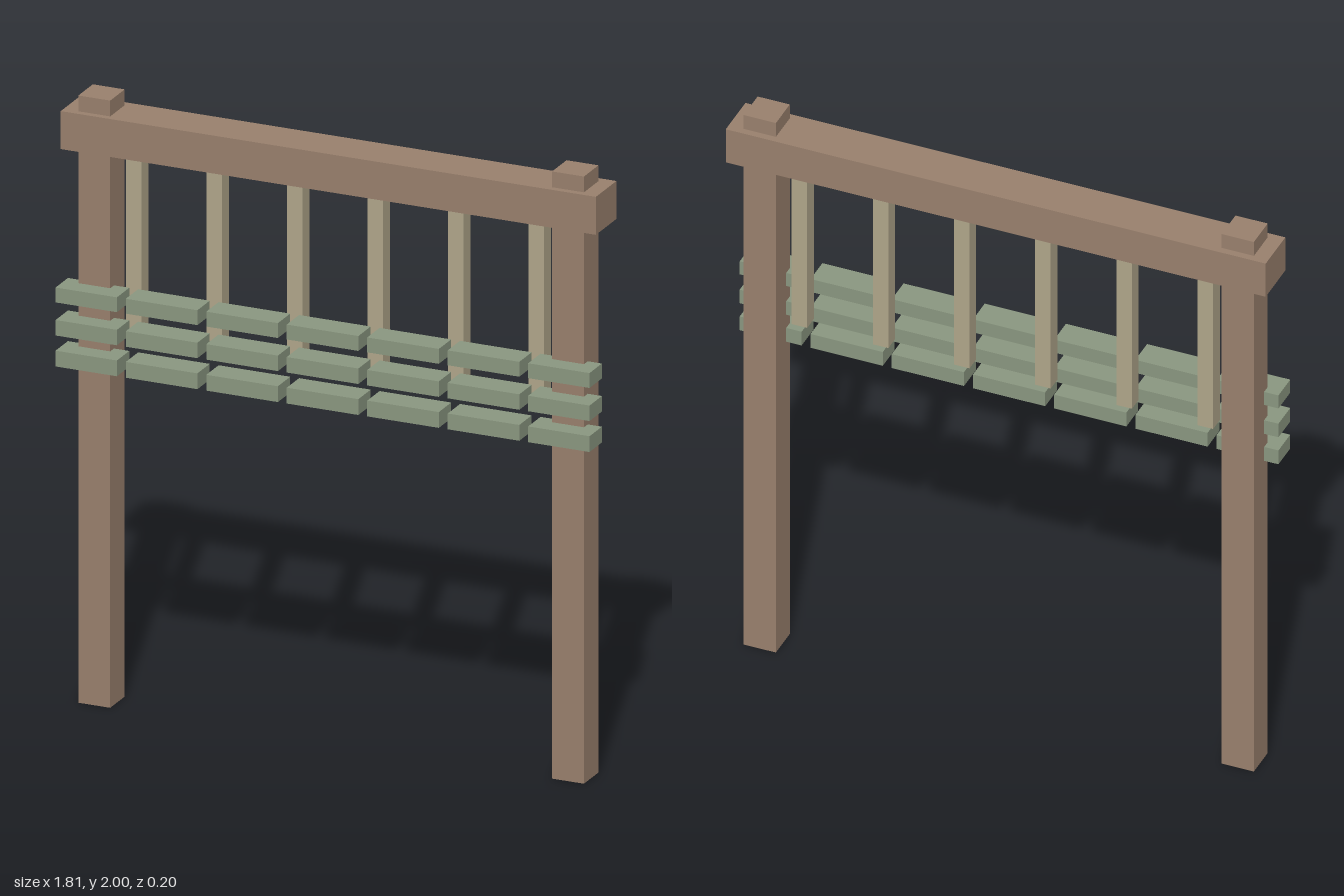
import * as THREE from 'three';

export function createModel() {
  const group = new THREE.Group();
  const material = (color) => new THREE.MeshStandardMaterial({ color });
  const timber = material(0x99806d);
  const paleWood = material(0xb0a68a);
  const green = material(0x8a9780);

  // Box given by its minimum and maximum on each axis
  const addBox = (name, mat, [x0, x1], [y0, y1], [z0, z1]) => {
    const mesh = new THREE.Mesh(new THREE.BoxGeometry(x1 - x0, y1 - y0, z1 - z0), mat);
    mesh.position.set((x0 + x1) / 2, (y0 + y1) / 2, (z0 + z1) / 2);
    mesh.name = name;
    group.add(mesh);
  };

  // Posts and the top beam they pass through
  for (const [name, x] of [['rightPost', -0.802], ['leftPost', 0.802]]) {
    addBox(name, timber, [x - 0.054, x + 0.054], [0, 2], [-0.074, 0.034]);
  }
  addBox('topBeam', timber, [-0.906, 0.906], [1.823, 1.948], [-0.098, 0.055]);

  // Balusters hanging from the beam, one behind each gap between the slats
  const count = 6, pitch = 0.2725, halfGap = 0.015;
  const centres = Array.from({ length: count }, (_, i) => (i - (count - 1) / 2) * pitch);
  centres.forEach((x, i) => {
    addBox(`baluster${i + 1}`, paleWood, [x - 0.026, x + 0.026], [1.234, 1.83], [-0.046, 0.006]);
  });

  // Three rows of short slats along the front
  const rows = [[1.122, 1.174], [1.224, 1.275], [1.333, 1.382]];
  const starts = [-0.904, ...centres.map((x) => x + halfGap)];
  const ends = [...centres.map((x) => x - halfGap), 0.904];
  rows.forEach((y, r) => {
    starts.forEach((x, i) => {
      addBox(`slatRow${r + 1}Piece${i + 1}`, green, [x, ends[i]], y, [0.006, 0.098]);
    });
  });

  return group;
}
